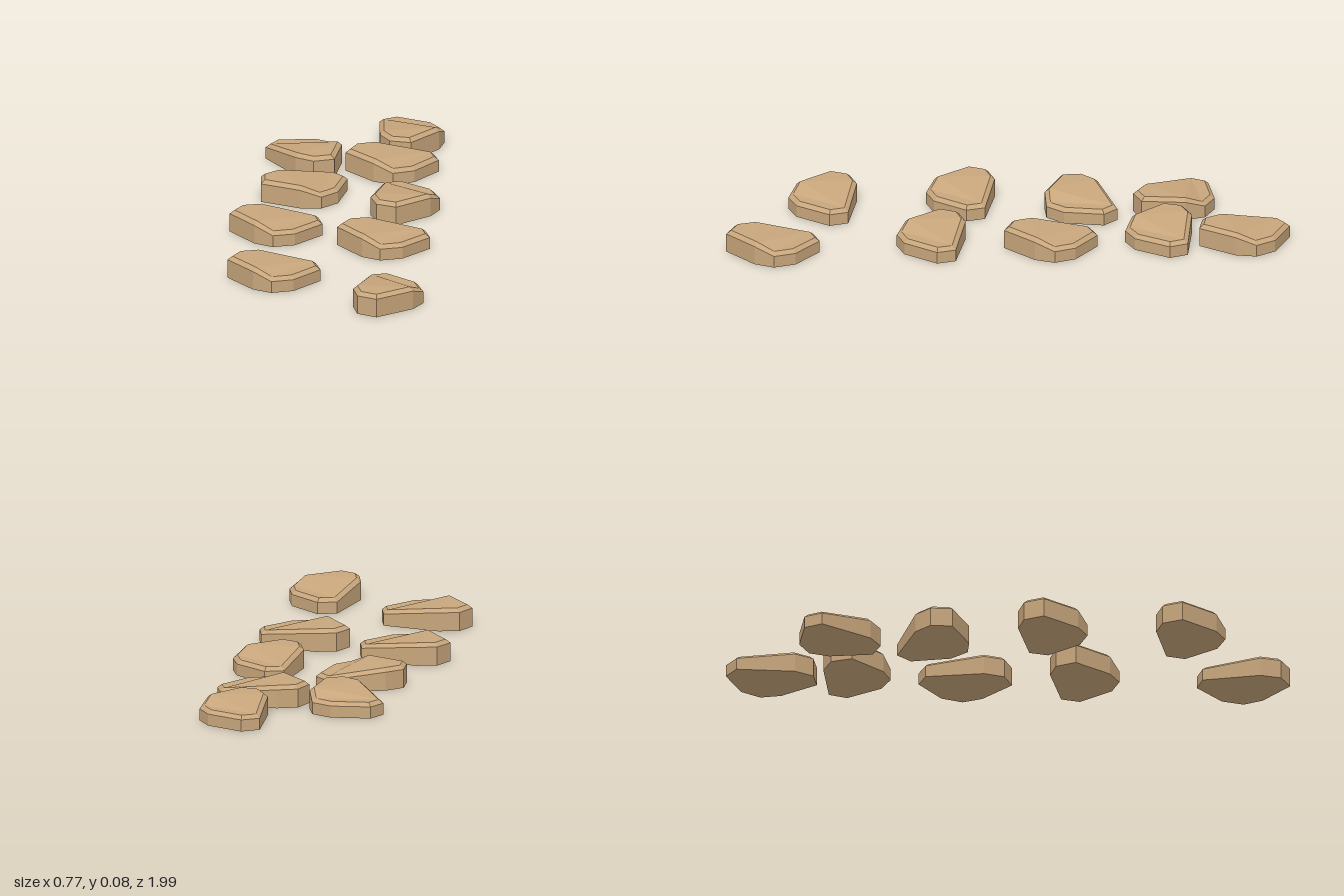
import * as THREE from 'three';

// Stone outline (x, z), clockwise seen from above; the broad end is at -x
const OUTLINE = [
  [-0.164, -0.04], [-0.127, -0.108], [-0.053, -0.124], [0.148, -0.071],
  [0.164, -0.003], [0.068, 0.103], [-0.01, 0.124], [-0.075, 0.087],
];
// Wall height at each corner: high at the broad end, low at the other
const WALL = [0.067, 0.067, 0.067, 0.042, 0.042, 0.042, 0.042, 0.067];
const BEVEL_RISE = 0.013;
const BEVEL_INSET = 0.015;

// Stepping stones: x, z, turn in degrees
const STONES = [
  [0.264, -0.842, 104.7],
  [-0.091, -0.643, 134.7],
  [0.202, -0.542, 4.5],
  [-0.102, -0.28, 28],
  [0.242, -0.153, 93],
  [-0.214, 0.119, -1],
  [0.164, 0.264, -1],
  [-0.224, 0.606, 0],
  [0.178, 0.828, 89],
];

// Moves every corner inwards by the same distance from both of its edges
function insetOutline(points, distance) {
  const n = points.length;
  const normals = points.map(([x, z], i) => {
    const [nx, nz] = points[(i + 1) % n];
    return new THREE.Vector2(z - nz, nx - x).normalize();
  });
  return points.map(([x, z], i) => {
    const a = normals[(i + n - 1) % n], b = normals[i];
    const k = distance / (1 + a.dot(b));
    return [x + (a.x + b.x) * k, z + (a.y + b.y) * k];
  });
}

function createStoneGeometry() {
  const n = OUTLINE.length;
  const base = OUTLINE.map(([x, z]) => [x, 0, z]);
  const rim = OUTLINE.map(([x, z], i) => [x, WALL[i], z]);
  const top = insetOutline(OUTLINE, BEVEL_INSET).map(([x, z], i) => [x, WALL[i] + BEVEL_RISE, z]);
  const positions = [];
  const quad = (a, b, c, d) => positions.push(...a, ...b, ...c, ...a, ...c, ...d);

  // Upright walls and the bevel above them
  for (let i = 0; i < n; i++) {
    const j = (i + 1) % n;
    quad(base[j], base[i], rim[i], rim[j]);
    quad(rim[j], rim[i], top[i], top[j]);
  }
  // Top: raised end, slope and lower end
  quad(top[7], top[2], top[1], top[0]);
  quad(top[7], top[6], top[3], top[2]);
  quad(top[6], top[5], top[4], top[3]);
  // Underside
  for (let i = 1; i < n - 1; i++) positions.push(...base[0], ...base[i], ...base[i + 1]);

  const geometry = new THREE.BufferGeometry();
  geometry.setAttribute('position', new THREE.Float32BufferAttribute(positions, 3));
  geometry.computeVertexNormals();
  return geometry;
}

export function createModel() {
  const group = new THREE.Group();
  group.name = 'stonePath';
  const geometry = createStoneGeometry();
  const material = new THREE.MeshStandardMaterial({ color: 0xc8a67c, flatShading: true });

  STONES.forEach(([x, z, turn], i) => {
    const stone = new THREE.Mesh(geometry, material);
    stone.name = `steppingStone${i + 1}`;
    stone.position.set(x, 0, z);
    stone.rotation.y = THREE.MathUtils.degToRad(turn);
    group.add(stone);
  });
  return group;
}
